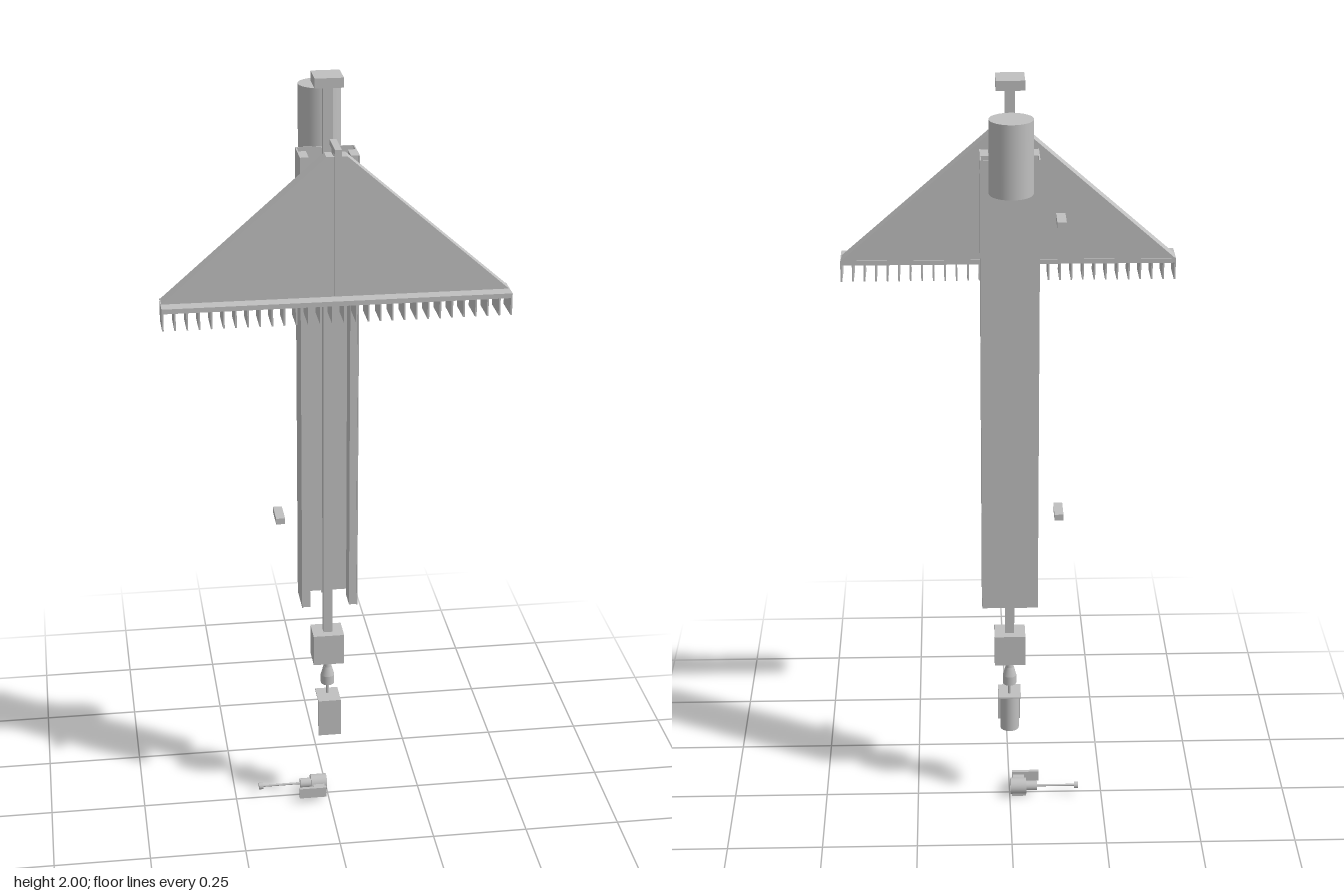
import * as THREE from 'three';

export function createModel() {
  const model = new THREE.Group();
  const grey = new THREE.MeshStandardMaterial({ color: 0xc0c0c0 });
  grey.name = 'light grey';

  const add = (name, geometry, x = 0, y = 0, z = 0) => {
    const mesh = new THREE.Mesh(geometry, grey);
    mesh.name = name;
    mesh.position.set(x, y, z);
    model.add(mesh);
    return mesh;
  };
  // Box given by its limits on each axis
  const box = (name, x0, x1, y0, y1, z0, z1) =>
    add(name, new THREE.BoxGeometry(x1 - x0, y1 - y0, z1 - z0),
      (x0 + x1) / 2, (y0 + y1) / 2, (z0 + z1) / 2);
  const tube = (name, r0, r1, y0, y1, z = 0, sides = 32) =>
    add(name, new THREE.CylinderGeometry(r1, r0, y1 - y0, sides), 0, (y0 + y1) / 2, z);
  // Flat outline pushed along z
  const extrude = (points, depth) => new THREE.ExtrudeGeometry(
    new THREE.Shape(points.map(p => new THREE.Vector2(...p))), { depth, bevelEnabled: false });

  // Tall channel, open at the front, top and bottom
  box('channelBack', -0.0725, 0.0725, 0.6, 1.81, -0.049, -0.046);
  for (const s of [-1, 1]) {
    const side = (name, a, b, z0, z1) =>
      box(name, Math.min(s * a, s * b), Math.max(s * a, s * b), 0.6, 1.81, z0, z1);
    side('channelSide', 0.0695, 0.0725, -0.046, 0.046);
    side('guideRail', 0.051, 0.0695, -0.011, 0.043);
  }
  const ridge = add('backRidge', extrude([[-0.012, 0.034], [0.012, 0.034], [0, 0.046]], 1.21), 0, 0.6, 0);
  ridge.rotation.x = -Math.PI / 2;

  // Central rod with head plate, lower block and coupling
  box('rod', -0.012, 0.012, 0.5, 1.977, -0.012, 0.012);
  box('headPlate', -0.036, 0.034, 1.976, 2.0, -0.037, 0.042);
  box('lowerBlock', -0.041, 0.04, 0.42, 0.505, -0.035, 0.034);
  tube('couplingNeck', 0.011, 0.009, 0.395, 0.42);
  tube('couplingCone', 0.018, 0.011, 0.372, 0.397);
  tube('couplingCollar', 0.018, 0.018, 0.347, 0.372);
  tube('couplingPin', 0.004, 0.004, 0.31, 0.347);

  // Hanging cylinder with bent front plate
  tube('hangingCylinder', 0.025, 0.025, 0.21, 0.313);
  box('bracketTop', -0.03, 0.03, 0.311, 0.315, -0.025, 0.045);
  box('bracketFront', -0.03, 0.03, 0.21, 0.315, 0.041, 0.045);

  // Carriage and arm holding the rake
  box('carriage', -0.046, 0.048, 1.475, 1.76, 0.014, 0.038);
  box('carriageArm', -0.011, 0.011, 1.617, 1.658, 0.03, 0.126);

  // Triangular rake plate with hanging indicator strip
  add('rakePlate', extrude(
    [[-0.42, 1.5], [0.42, 1.5], [0.025, 1.845], [-0.025, 1.845]], 0.042), 0, 0, 0.124);
  box('stripHook', -0.008, 0.008, 1.855, 1.868, 0.097, 0.19);
  box('hookPost', -0.008, 0.008, 1.84, 1.857, 0.13, 0.16);
  box('hangingStrip', -0.008, 0.008, 1.51, 1.857, 0.184, 0.19);

  // Rake bar with thin teeth
  box('rakeBar', -0.422, 0.422, 1.488, 1.5, 0.122, 0.201);
  const teeth = 30;
  for (let i = 0; i < teeth; i++) {
    const x = -0.42 + 0.84 * i / (teeth - 1);
    box('rakeTooth', x - 0.002, x + 0.002, 1.445, 1.49, 0.122, 0.201);
  }

  // Drum behind the channel
  tube('rearDrum', 0.053, 0.053, 1.76, 1.94, -0.15, 48);

  // Pair of side blocks
  for (const y of [0.852, 1.64])
    box('sideBlock', -0.138, -0.115, y - 0.008, y + 0.008, -0.03, 0.043);

  // Small lever at the foot
  const alongX = (name, r, x0, x1) => {
    const mesh = add(name, new THREE.CylinderGeometry(r, r, x1 - x0, 24), (x0 + x1) / 2, 0.028, -0.012);
    mesh.rotation.z = Math.PI / 2;
  };
  alongX('leverDrum', 0.022, -0.045, -0.002);
  alongX('leverHub', 0.013, -0.074, -0.045);
  alongX('leverRod', 0.003, -0.18, -0.07);
  alongX('leverKnob', 0.009, -0.187, -0.176);
  box('leverLink', -0.04, -0.01, 0.022, 0.034, 0.005, 0.035);
  box('leverPlate', -0.081, -0.008, 0.014, 0.043, 0.033, 0.043);
  box('leverFoot', -0.045, -0.006, 0, 0.012, -0.02, -0.004);

  return model;
}
